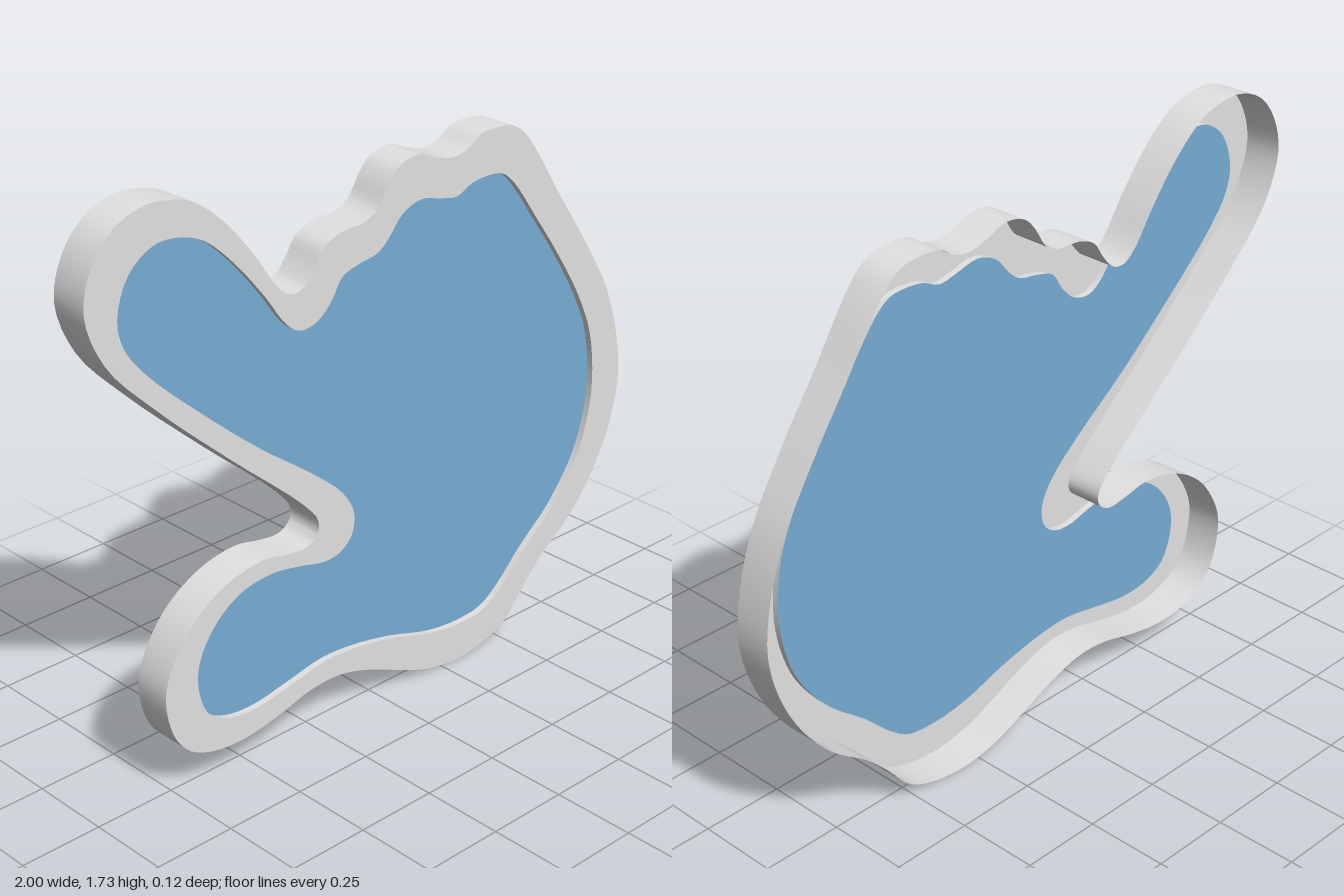
import * as THREE from 'three';
import { toCreasedNormals } from 'three/addons/utils/BufferGeometryUtils.js';

// Outer silhouette, counter-clockwise from the fingertip (x, y pairs)
const OUTER = [
  -1, 1.5, -0.945, 1.35, -0.8, 1.19, -0.55, 0.96, -0.3, 0.74, -0.245, 0.67, -0.25, 0.63, -0.29, 0.605,
  -0.36, 0.61, -0.45, 0.625, -0.58, 0.6, -0.7, 0.525, -0.78, 0.41, -0.8, 0.33, -0.775, 0.21, -0.72, 0.14,
  -0.64, 0.105, -0.53, 0.095, -0.4, 0.115, -0.28, 0.145, -0.17, 0.148, -0.05, 0.115, 0.1, 0.05, 0.2, 0.015,
  0.32, 0, 0.45, 0.02, 0.53, 0.06, 0.6, 0.14, 0.68, 0.22, 0.8, 0.31, 0.9, 0.43, 0.97, 0.57,
  1, 0.71, 0.985, 0.85, 0.93, 1.02, 0.83, 1.19, 0.7, 1.38, 0.56, 1.585, 0.5, 1.63, 0.43, 1.64,
  0.37, 1.635, 0.32, 1.605, 0.26, 1.595, 0.2, 1.61, 0.13, 1.635, 0.06, 1.62, 0.02, 1.58, -0.02, 1.52,
  -0.07, 1.495, -0.15, 1.49, -0.21, 1.465, -0.25, 1.41, -0.29, 1.37, -0.335, 1.365, -0.38, 1.4, -0.45, 1.5,
  -0.55, 1.62, -0.65, 1.7, -0.73, 1.725, -0.8, 1.73, -0.9, 1.695, -0.97, 1.615,
];

// Inner edge of the rim
const INNER = [
  -0.9, 1.46, -0.885, 1.38, -0.82, 1.29, -0.65, 1.13, -0.45, 0.96, -0.25, 0.81, -0.15, 0.72, -0.11, 0.645,
  -0.12, 0.58, -0.16, 0.545, -0.22, 0.535, -0.31, 0.555, -0.42, 0.572, -0.53, 0.555, -0.62, 0.495, -0.68, 0.4,
  -0.685, 0.31, -0.65, 0.225, -0.58, 0.185, -0.48, 0.175, -0.36, 0.193, -0.22, 0.217, -0.1, 0.21, 0.05, 0.18,
  0.2, 0.135, 0.32, 0.12, 0.43, 0.13, 0.5, 0.175, 0.6, 0.27, 0.72, 0.37, 0.82, 0.5, 0.865, 0.62,
  0.88, 0.74, 0.86, 0.9, 0.8, 1.04, 0.7, 1.2, 0.6, 1.34, 0.51, 1.46, 0.46, 1.5, 0.41, 1.508,
  0.34, 1.502, 0.28, 1.478, 0.22, 1.488, 0.14, 1.505, 0.07, 1.48, 0.02, 1.425, -0.02, 1.395, -0.09, 1.382,
  -0.15, 1.362, -0.19, 1.305, -0.24, 1.262, -0.3, 1.253, -0.35, 1.285, -0.42, 1.38, -0.52, 1.5, -0.62, 1.59,
  -0.7, 1.62, -0.78, 1.62, -0.86, 1.565,
];

const FRONT = 0.058;
const BACK = -0.058;
const PANEL = 0.038;

// Smooth closed outline through the points
function outline(flat) {
  const pts = [];
  for (let i = 0; i < flat.length; i += 2) pts.push(new THREE.Vector3(flat[i], flat[i + 1], 0));
  const curve = new THREE.CatmullRomCurve3(pts, true);
  return curve.getPoints(pts.length * 4).slice(0, -1).map((p) => new THREE.Vector2(p.x, p.y));
}

// Open wall standing on a closed outline between two depths
function wallGeometry(loop, z0, z1) {
  const positions = [];
  loop.forEach((a, i) => {
    const b = loop[(i + 1) % loop.length];
    positions.push(a.x, a.y, z0, b.x, b.y, z0, b.x, b.y, z1);
    positions.push(a.x, a.y, z0, b.x, b.y, z1, a.x, a.y, z1);
  });
  const geometry = new THREE.BufferGeometry();
  geometry.setAttribute('position', new THREE.Float32BufferAttribute(positions, 3));
  return toCreasedNormals(geometry, Math.PI / 5);
}

// Flat sheet at a given depth
function sheetGeometry(shape, z) {
  return new THREE.ShapeGeometry(shape).translate(0, 0, z);
}

export function createModel() {
  const rimGrey = new THREE.MeshStandardMaterial({ color: 0xe2e2e2, side: THREE.DoubleSide });
  rimGrey.name = 'rimGrey';
  const panelBlue = new THREE.MeshStandardMaterial({ color: 0x77acd3, side: THREE.DoubleSide });
  panelBlue.name = 'panelBlue';

  const group = new THREE.Group();
  group.name = 'pointingHand';
  const add = (name, geometry, material) => {
    const mesh = new THREE.Mesh(geometry, material);
    mesh.name = name;
    group.add(mesh);
  };

  const outer = outline(OUTER);
  const inner = outline(INNER);

  // Rim: front face, outer wall open at the back, and the short step down to the panel
  const rimShape = new THREE.Shape(outer);
  rimShape.holes.push(new THREE.Path(inner));
  add('rimFace', sheetGeometry(rimShape, FRONT), rimGrey);
  add('outerWall', wallGeometry(outer, BACK, FRONT), rimGrey);
  add('innerStep', wallGeometry([...inner].reverse(), PANEL, FRONT), rimGrey);

  // Hand panel set back from the rim face
  add('handPanel', sheetGeometry(new THREE.Shape(inner), PANEL), panelBlue);
  return group;
}
